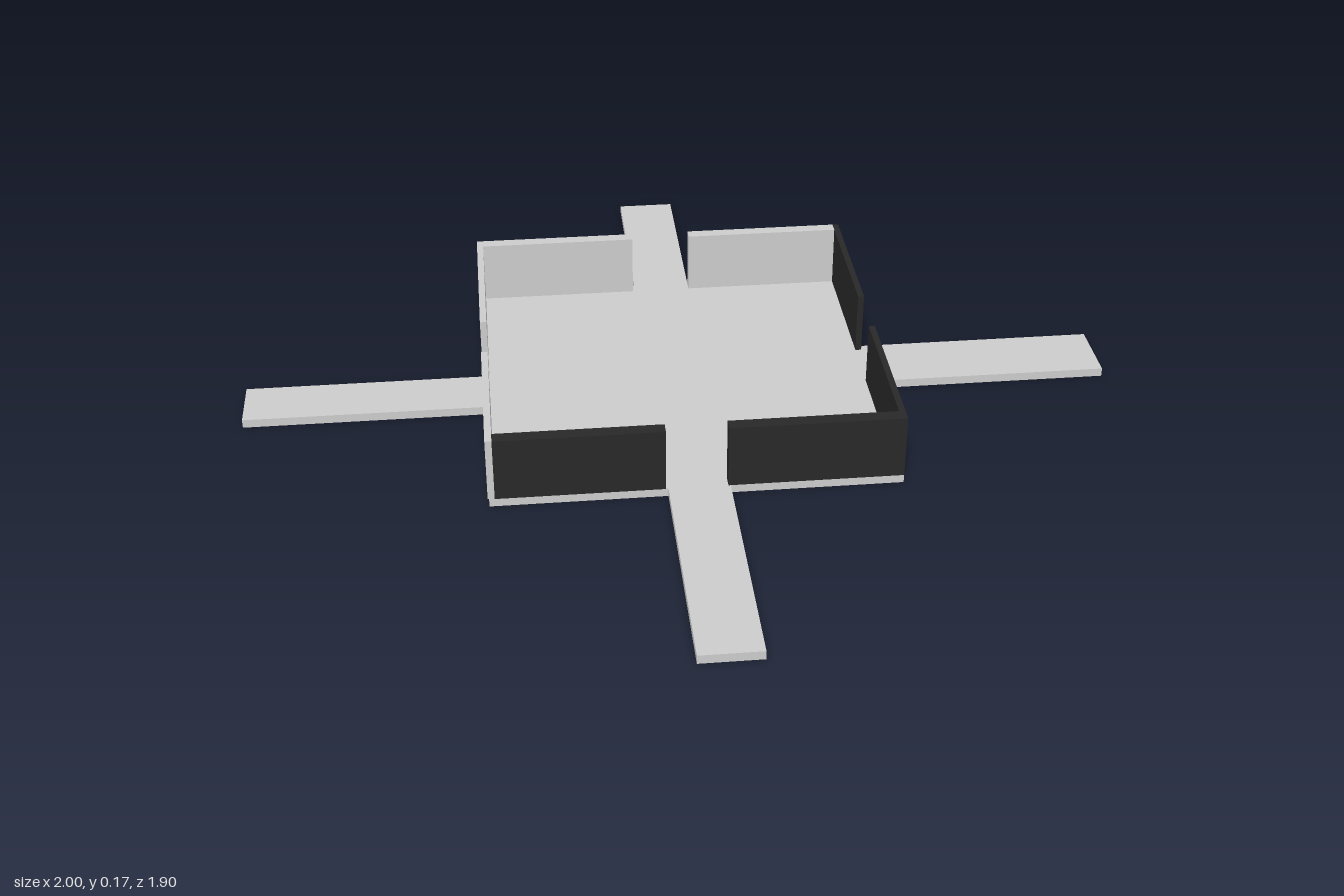
import * as THREE from 'three';

const BASE = 0.02, TOP = 0.167;

export function createModel() {
  const group = new THREE.Group();
  const grey = new THREE.MeshStandardMaterial({ color: 0xcccccc });
  const dark = new THREE.MeshStandardMaterial({ color: 0x282828 });

  // Box given by its extents
  const slab = (name, x0, x1, y0, y1, z0, z1, material) => {
    const mesh = new THREE.Mesh(new THREE.BoxGeometry(x1 - x0, y1 - y0, z1 - z0), material);
    mesh.position.set((x0 + x1) / 2, (y0 + y1) / 2, (z0 + z1) / 2);
    mesh.name = name;
    group.add(mesh);
  };

  // Floor plate with four arms, as one flat outline (shape y = -z)
  const outline = [
    [-0.45, 0.385], [-0.065, 0.385], [-0.065, 0.947], [0.07, 0.947], [0.07, 0.385], [0.45, 0.385],
    [0.45, 0], [1, 0], [1, -0.16], [0.45, -0.16], [0.45, -0.512],
    [0.07, -0.512], [0.07, -0.95], [-0.065, -0.95], [-0.065, -0.512], [-0.45, -0.512],
    [-0.45, -0.113], [-1, -0.113], [-1, 0.02], [-0.45, 0.02],
  ];
  const shape = new THREE.Shape(outline.map(([x, z]) => new THREE.Vector2(x, -z)));
  const plate = new THREE.Mesh(
    new THREE.ExtrudeGeometry(shape, { depth: BASE, bevelEnabled: false }).rotateX(-Math.PI / 2), grey);
  plate.name = 'floorWithArms';
  group.add(plate);

  // Upright walls, split by a gap at each arm
  const walls = [
    ['backWallRight', -0.438, -0.07, -0.51, -0.482, grey],
    ['backWallLeft', 0.07, 0.436, -0.51, -0.482, grey],
    ['rightWallBack', -0.453, -0.438, -0.51, -0.113, grey],
    ['rightWallFront', -0.453, -0.438, 0.02, 0.385, grey],
    ['frontWallRight', -0.438, -0.07, 0.357, 0.387, dark],
    ['frontWallLeft', 0.065, 0.436, 0.357, 0.387, dark],
    ['leftWallBack', 0.436, 0.45, -0.51, -0.143, dark],
    ['leftWallFront', 0.436, 0.45, -0.005, 0.387, dark],
  ];
  for (const [name, x0, x1, z0, z1, material] of walls) slab(name, x0, x1, BASE, TOP, z0, z1, material);

  return group;
}
